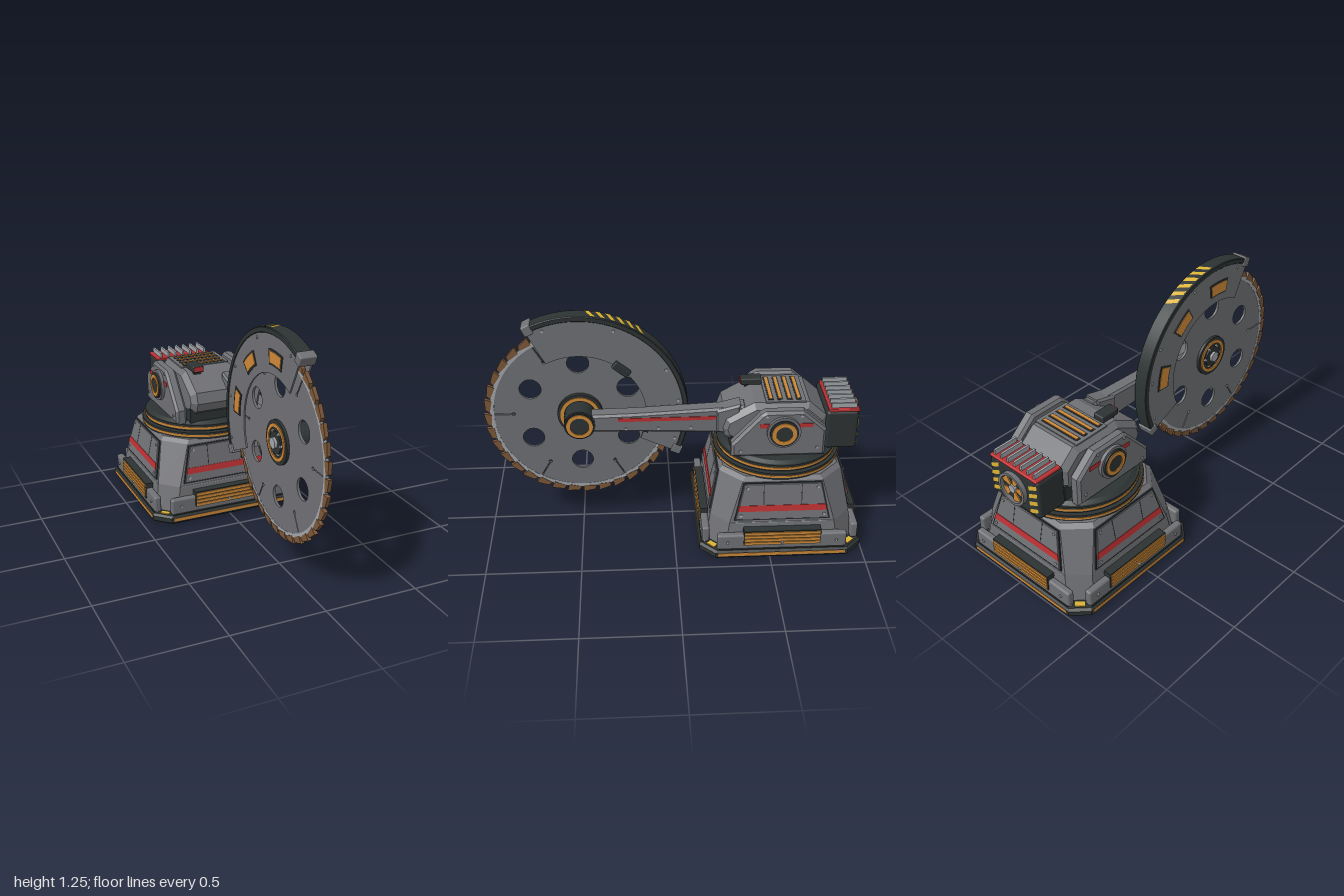
import * as THREE from 'three';
import { RoundedBoxGeometry } from 'three/addons/geometries/RoundedBoxGeometry.js';

const mat = (name, color, side = THREE.FrontSide) => Object.assign(new THREE.MeshStandardMaterial({ color, side }), { name });
const grey = mat('body grey', 0x6f7074), dark = mat('dark metal', 0x2c3232), steel = mat('light steel', 0xa0a5aa);
const orange = mat('orange trim', 0xcd8836), red = mat('red trim', 0xbb3032), brown = mat('tooth brown', 0x7a5638);
const yellow = mat('hazard yellow', 0xdcb234, THREE.DoubleSide);
const PI = Math.PI, TZ = -0.5625, AXLE = 0.675;

function add(parent, name, geo, material, x = 0, y = 0, z = 0) {
  const m = new THREE.Mesh(geo, material);
  m.name = name;
  m.position.set(x, y, z);
  parent.add(m);
  return m;
}
function group(parent, name, x = 0, y = 0, z = 0) {
  const g = new THREE.Group();
  g.name = name;
  g.position.set(x, y, z);
  parent.add(g);
  return g;
}
const box = (w, h, d) => new THREE.BoxGeometry(w, h, d);
const rbox = (w, h, d, r = 0.012) => new RoundedBoxGeometry(w, h, d, 2, r);
const poly = pts => new THREE.Shape(pts.map(p => new THREE.Vector2(p[0], p[1])));

// Extrusion from z0 to z1, with an optional chamfer kept inside the outline
function slab(shape, z0, z1, b = 0, curveSegments = 24) {
  const g = new THREE.ExtrudeGeometry(shape, { depth: z1 - z0 - 2 * b, bevelEnabled: b > 0, bevelSize: b,
    bevelThickness: b, bevelOffset: -b, bevelSegments: 1, curveSegments });
  return g.translate(0, 0, z0 + b);
}
// Side profile given as [z, y], spanning x0..x1
const profile = (pts, x0, x1, b) => slab(poly(pts.map(p => [-p[0], p[1]])), x0, x1, b).rotateY(PI / 2);
// Cylinder along local z
const disc = (r, z0, z1, n = 40) => new THREE.CylinderGeometry(r, r, z1 - z0, n).rotateX(PI / 2).translate(0, 0, (z0 + z1) / 2);
function sector(r0, r1, a0, a1) {
  const s = new THREE.Shape();
  s.absarc(0, 0, r1, a0, a1, false);
  s.absarc(0, 0, r0, a1, a0, true);
  return s;
}
function ring(r0, r1, z0, z1) {
  const s = new THREE.Shape().absarc(0, 0, r1, 0, 2 * PI, false);
  s.holes.push(new THREE.Path().absarc(0, 0, r0, 0, 2 * PI, true));
  return slab(s, z0, z1, 0, 48);
}
// Square section with cut corners, lofted through [y, half width, corner cut]
function octLoft(levels) {
  const rows = levels.map(([y, h, c]) => {
    const k = h - c;
    return [[h, k], [h, -k], [k, -h], [-k, -h], [-h, -k], [-h, k], [-k, h], [k, h]].map(p => [p[0], y, p[1]]);
  });
  const v = [], top = rows[rows.length - 1], bot = rows[0];
  for (let r = 0; r + 1 < rows.length; r++) for (let i = 0; i < 8; i++) {
    const j = (i + 1) % 8, a = rows[r][i], b = rows[r][j], c = rows[r + 1][j], d = rows[r + 1][i];
    v.push(...a, ...b, ...c, ...a, ...c, ...d);
  }
  for (let i = 1; i < 7; i++) v.push(...top[0], ...top[i], ...top[i + 1], ...bot[0], ...bot[i + 1], ...bot[i]);
  const g = new THREE.BufferGeometry();
  g.setAttribute('position', new THREE.Float32BufferAttribute(v, 3));
  g.computeVertexNormals();
  return g;
}
function quad(a, b, c, d) {
  const g = new THREE.BufferGeometry();
  g.setAttribute('position', new THREE.Float32BufferAttribute([...a, ...b, ...c, ...a, ...c, ...d], 3));
  g.computeVertexNormals();
  return g;
}
const bolt = (parent, x, y, z) => add(parent, 'bolt', disc(0.008, -0.004, 0.006, 6), steel, x, y, z);

function buildBase(root) {
  const base = group(root, 'base', 0, 0, TZ);
  add(base, 'footPlate', octLoft([[0, 0.425, 0.08], [0.01, 0.434, 0.08], [0.036, 0.434, 0.08], [0.047, 0.424, 0.08]]), dark);
  add(base, 'pedestal', octLoft([[0.045, 0.395, 0.095], [0.19, 0.373, 0.095], [0.42, 0.325, 0.115], [0.44, 0.305, 0.11]]), grey);
  for (let i = 0; i < 4; i++) {
    const s = group(base, 'baseSide');
    s.rotation.y = i * PI / 2;
    add(s, 'footStrip', box(0.68, 0.018, 0.006), orange, 0, 0.026, 0.433);
    add(s, 'skirt', rbox(0.69, 0.092, 0.04), grey, 0, 0.093, 0.4);
    add(s, 'skirtEdge', box(0.67, 0.006, 0.03), dark, 0, 0.05, 0.408);
    add(s, 'grilleFrame', box(0.41, 0.09, 0.045), dark, 0, 0.122, 0.402);
    for (let k = 0; k < 4; k++) add(s, 'grilleSlat', box(0.4, 0.015, 0.008), orange, 0, 0.09 + k * 0.021, 0.425);
    for (const x of [-0.29, 0, 0.29]) bolt(s, x, 0.095, x ? 0.421 : 0.43);
    add(s, 'seam', box(0.55, 0.005, 0.006), steel, 0, 0.19, 0.373);
    // Sloping access panel
    const p = group(s, 'accessPanel', 0, 0.19, 0.373);
    p.rotation.x = -0.206;
    add(p, 'panelFrame', slab(poly([[-0.255, 0.015], [0.255, 0.015], [0.207, 0.228], [-0.207, 0.228]]), -0.005, 0.007), dark);
    add(p, 'panel', slab(poly([[-0.248, 0.021], [0.248, 0.021], [0.202, 0.222], [-0.202, 0.222]]), 0, 0.013, 0.003), grey);
    add(p, 'panelStripe', slab(poly([[-0.236, 0.068], [0.236, 0.068], [0.228, 0.102], [-0.228, 0.102]]), 0.01, 0.016), red);
    for (const x of [-1, 1]) {
      add(p, 'panelSeam', box(0.004, 0.115, 0.003), dark, x * 0.1, 0.163, 0.0125);
      bolt(p, x * 0.185, 0.2, 0.012);
      bolt(p, x * 0.22, 0.045, 0.012);
    }
    const c = group(s, 'cornerMark', 0.373, 0.047, 0.373);
    c.rotation.y = PI / 4;
    add(c, 'cornerPlate', box(0.05, 0.006, 0.03), yellow, 0, 0.002, -0.008);
    bolt(s, 0.34, 0.055, 0.405);
  }
  // Slewing rings
  const cyl = (name, r0, r1, y0, y1, m) => add(base, name, new THREE.CylinderGeometry(r1, r0, y1 - y0, 64), m, 0, (y0 + y1) / 2, 0);
  cyl('lowerRing', 0.34, 0.34, 0.436, 0.47, dark);
  cyl('lowerRingBand', 0.343, 0.343, 0.447, 0.459, orange);
  cyl('ringGap', 0.3, 0.3, 0.465, 0.48, dark);
  cyl('upperRing', 0.322, 0.322, 0.476, 0.51, dark);
  cyl('upperRingBand', 0.325, 0.325, 0.485, 0.498, orange);
  cyl('turntable', 0.31, 0.29, 0.51, 0.522, dark);
}

function buildHead(root) {
  const head = group(root, 'turretHead');
  add(head, 'headFoot', box(0.33, 0.09, 0.5), dark, 0, 0.56, -0.55);
  add(head, 'headBody', profile([[-0.27, 0.59], [-0.25, 0.64], [-0.27, 0.7], [-0.42, 0.785], [-0.71, 0.785],
    [-0.805, 0.7], [-0.805, 0.57], [-0.75, 0.56], [-0.32, 0.56]], -0.168, 0.168, 0.03), grey);
  add(head, 'pivotShaft', disc(0.07, -0.24, 0.24).rotateY(PI / 2), dark, 0, AXLE, TZ);
  add(head, 'ventPlate', box(0.29, 0.008, 0.21), grey, 0, 0.787, -0.585);
  for (let k = 0; k < 4; k++) {
    add(head, 'ventRecess', box(0.25, 0.003, 0.03), dark, 0, 0.7915, -0.655 + k * 0.049);
    add(head, 'ventSlat', box(0.235, 0.006, 0.016), orange, 0, 0.793, -0.655 + k * 0.049);
  }
  // Sensor on the roof
  add(head, 'sensor', rbox(0.065, 0.038, 0.112, 0.008), dark, -0.084, 0.802, -0.425);
  add(head, 'sensorMount', box(0.045, 0.05, 0.06), dark, -0.084, 0.765, -0.42);
  add(head, 'sensorLens', box(0.052, 0.026, 0.008), red, -0.084, 0.803, -0.369);

  // Trunnion cheeks, mirrored by turning the left profile over
  for (const s of [1, -1]) {
    const c = group(head, s > 0 ? 'leftCheek' : 'rightCheek');
    const lo = s > 0 ? 0.185 : -0.25, sp = [lo, lo + 0.065];
    add(c, 'cheekPlate', profile([[-0.294, 0.522], [-0.294, 0.6], [-0.445, 0.772], [-0.47, 0.787], [-0.665, 0.787],
      [-0.786, 0.68], [-0.786, 0.522]], ...sp, 0.014), grey);
    const f = group(c, 'cheekFace', s * 0.25, AXLE, TZ);
    f.rotation.y = s * PI / 2;
    add(f, 'pivotCap', disc(0.088, -0.01, 0.018), grey);
    add(f, 'pivotDisc', disc(0.074, 0.018, 0.028), dark);
    add(f, 'pivotRing', ring(0.043, 0.064, 0.024, 0.033), orange);
    // Local x runs toward the back on the left side and toward the front on the right
    for (const [a, b] of [[-0.125, -0.075], [0.075, 0.15]])
      add(f, 'cheekStripe', box(b - a, 0.022, 0.006), red, s * (a + b) / 2, 0.035, 0.001);
    for (const [x, y] of [[-0.22, -0.115], [0.18, -0.1], [0.09, 0.09], [-0.09, 0.09]]) bolt(f, s * x, y, 0);
  }

  // Rear cooling unit
  const r = group(head, 'coolingUnit', 0, 0.622, -0.885);
  add(r, 'coolerBox', rbox(0.34, 0.225, 0.17, 0.018), dark);
  add(r, 'coolerLid', rbox(0.325, 0.016, 0.16, 0.005), red, 0, 0.115, -0.008);
  for (let k = -3; k <= 3; k++) add(r, 'coolingFin', box(0.012, 0.035, 0.135), steel, k * 0.046, 0.132, -0.008);
  const f = group(r, 'fan', 0, 0, -0.083);
  f.rotation.y = PI;
  add(f, 'fanShroud', ring(0.076, 0.09, 0, 0.026), grey);
  add(f, 'fanBack', disc(0.078, 0, 0.005), dark);
  add(f, 'fanHub', disc(0.022, 0, 0.022, 20), steel);
  for (let k = 0; k < 5; k++) {
    const b = add(f, 'fanBlade', slab(sector(0.02, 0.073, -0.36, 0.36), 0.008, 0.014), orange);
    b.rotation.z = k * 2 * PI / 5;
  }
  for (const x of [-0.162, 0.104]) {
    for (let k = 0; k < 4; k++) {
      const y = -0.098 + k * 0.047;
      add(f, 'hazardStripe', quad([x, y, 0.004], [x + 0.058, y + 0.028, 0.004], [x + 0.058, y + 0.052, 0.004], [x, y + 0.024, 0.004]), yellow);
    }
  }
}

function buildArm(root) {
  const arm = group(root, 'arm');
  add(arm, 'armBeam', profile([[0.5, 0.63], [0.5, 0.725], [0.2, 0.731], [-0.28, 0.754], [-0.37, 0.765], [-0.4, 0.7],
    [-0.37, 0.6], [-0.28, 0.604], [0.2, 0.623]], 0.052, 0.138, 0.012), grey);
  add(arm, 'armCollar', profile([[-0.22, 0.612], [-0.22, 0.742], [-0.35, 0.775], [-0.35, 0.59]], 0.045, 0.145, 0.012), grey);
  add(arm, 'armStripe', box(0.006, 0.02, 0.51), red, 0.138, 0.7, 0.035);
  for (const z of [0.25, 0.08, -0.09, -0.25]) bolt(arm, 0.138, 0.645, z).rotation.y = PI / 2;
}

function buildSaw(root) {
  // Local x points to the back, local z to the left
  const saw = group(root, 'saw', 0, AXLE, 0.49);
  saw.rotation.y = PI / 2;
  const plate = new THREE.Shape().absarc(0, 0, 0.475, 0, 2 * PI, false);
  for (let k = 0; k < 6; k++) {
    const a = k * PI / 3, c = Math.cos(a), s = Math.sin(a), h = a + PI / 6;
    plate.holes.push(new THREE.Path().absarc(0.295 * Math.cos(h), 0.295 * Math.sin(h), 0.057, 0, 2 * PI, true));
    plate.holes.push(new THREE.Path().absarc(0.352 * c, 0.352 * s, 0.009, 0, 2 * PI, true));
    plate.holes.push(new THREE.Path([[0.362, -0.003], [0.362, 0.003], [0.45, 0.003], [0.45, -0.003]]
      .map(([x, y]) => new THREE.Vector2(x * c - y * s, x * s + y * c))));
  }
  add(saw, 'bladePlate', slab(plate, -0.007, 0.007, 0, 48), grey);
  add(saw, 'bladeRim', ring(0.456, 0.478, -0.008, 0.008), steel);
  const tooth = slab(poly([[0.468, 0], [0.509, -0.005], [0.496, 0.06], [0.472, 0.07]]), -0.01, 0.01);
  for (let k = 0; k < 36; k++) add(saw, 'tooth', tooth, brown).rotation.z = k * PI / 18;

  // Hub and drive motor
  add(saw, 'innerHub', disc(0.12, 0.006, 0.03), dark);
  add(saw, 'innerHubRing', ring(0.086, 0.105, 0.028, 0.036), orange);
  add(saw, 'motor', disc(0.082, 0.03, 0.142), dark);
  add(saw, 'motorCap', disc(0.074, 0.14, 0.15), dark);
  add(saw, 'motorRing', ring(0.05, 0.069, 0.146, 0.155), orange);
  add(saw, 'outerHub', disc(0.115, -0.022, -0.006), dark);
  add(saw, 'outerHubRing', ring(0.078, 0.097, -0.028, -0.02), orange);
  add(saw, 'outerFlange', disc(0.06, -0.03, -0.02), dark);
  add(saw, 'arborNut', disc(0.032, -0.045, -0.028, 6), steel);
  for (let k = 0; k < 6; k++) bolt(saw, 0.062 * Math.cos(k * PI / 3), 0.062 * Math.sin(k * PI / 3), -0.028);

  // Guard
  const guard = group(saw, 'bladeGuard'), A0 = -0.44, A1 = 2.05;
  for (const z of [-0.038, 0.029]) add(guard, 'guardCheek', slab(sector(0.35, 0.557, A0, A1), z, z + 0.009, 0, 64), grey);
  add(guard, 'guardRim', slab(sector(0.545, 0.575, A0, A1), -0.041, 0.041, 0.004, 64), dark);
  for (const a of [A0 + 0.025, A1 - 0.025]) {
    const e = group(guard, 'guardEnd');
    e.rotation.z = a;
    add(e, 'endCap', rbox(0.055, 0.05, 0.09, 0.006), grey, 0.558, 0, 0);
  }
  for (const a of [-0.3, 0.15, 0.52, 1.2, 1.9]) for (const z of [0.038, -0.04]) bolt(guard, 0.525 * Math.cos(a), 0.525 * Math.sin(a), z);
  for (const a of [0.17, 0.89, 1.6]) {
    add(guard, 'windowFrame', slab(sector(0.395, 0.475, a - 0.16, a + 0.16), -0.041, -0.036), dark);
    add(guard, 'guardWindow', slab(sector(0.405, 0.465, a - 0.14, a + 0.14), -0.044, -0.038), orange);
  }
  for (let k = 0; k < 6; k++) {
    const a = 0.93 + k * 0.093, P = (t, z) => [0.5785 * Math.cos(t), 0.5785 * Math.sin(t), z];
    add(guard, 'hazardStripe', quad(P(a, 0.031), P(a + 0.045, 0.031), P(a + 0.1, -0.031), P(a + 0.055, -0.031)), yellow);
  }
  // Handle and link on the arm side
  for (const [a, r, w, l, t] of [[0.89, 0.357, 0.042, 0.1, 0.03], [-0.23, 0.357, 0.035, 0.045, 0.022]]) {
    const h = group(guard, 'guardBracket');
    h.rotation.z = a;
    add(h, 'bracketBlock', rbox(w, l, t, 0.006), dark, r, 0, 0.036 + t / 2);
  }
}

export function createModel() {
  const root = new THREE.Group();
  root.name = 'sawTurret';
  buildBase(root);
  buildHead(root);
  buildArm(root);
  buildSaw(root);
  return root;
}
